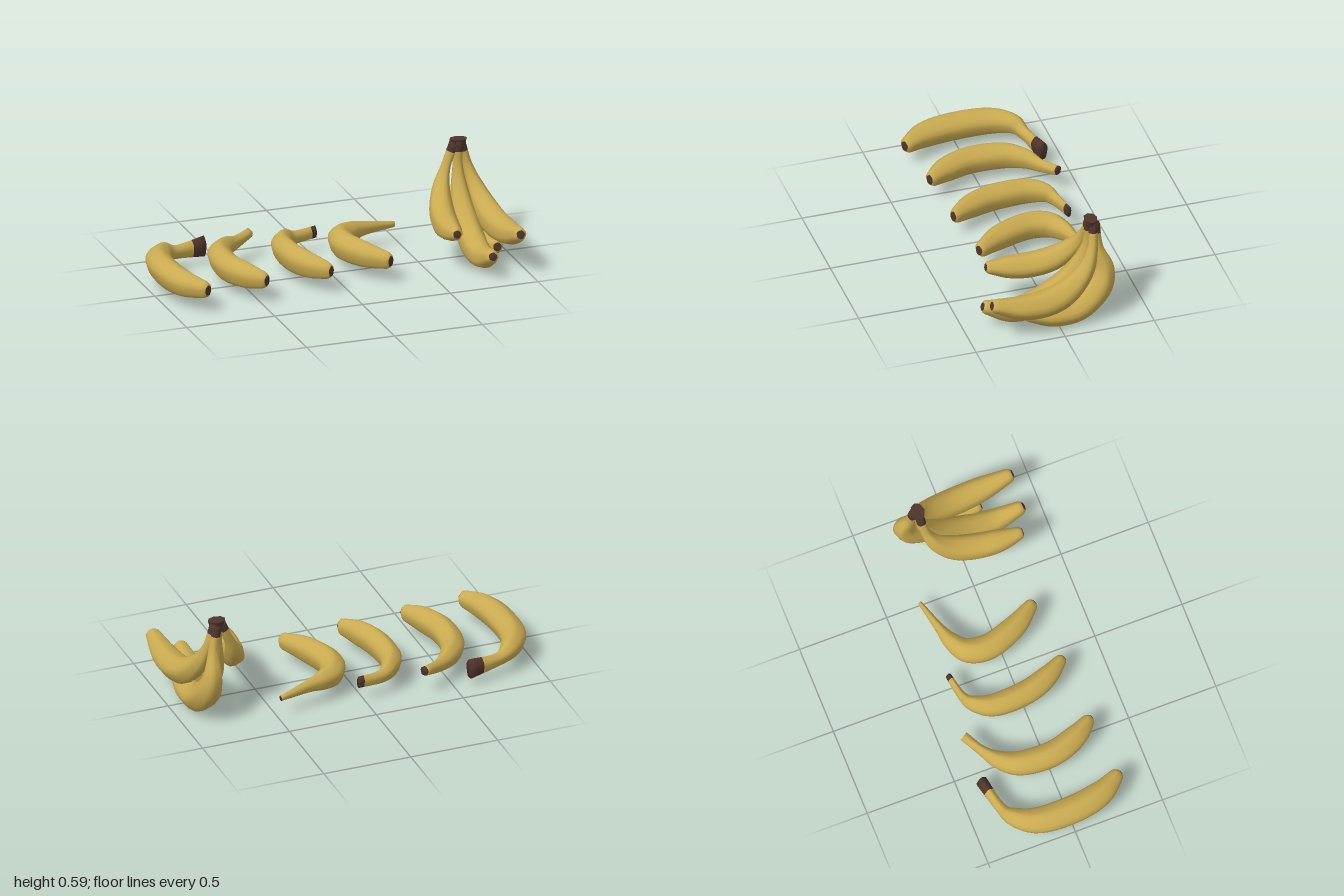
import * as THREE from 'three';

const SIDES = 20, ROWS = 5; // ring sides, rows per path span
const GIRTH = [0.027, 0.048, 0.067, 0.071, 0.063, 0.037]; // radius from neck to tip
const HEIGHT = [0.038, 0.057, 0.071, 0.075, 0.069, 0.048]; // upright radius when lying down

const skin = new THREE.MeshStandardMaterial({ color: 0xc9aa50 });
skin.name = 'yellowSkin';
const dried = new THREE.MeshStandardMaterial({ color: 0x4e342b });
dried.name = 'brownStem';

// Lofts a rounded five-sided banana along seven points, stem first.
// size scales the girth, depth lists the radii along the bend normal,
// end is the stem end's own pair of radii.
function banana(name, points, normal, { size, depth, end, brownRows }) {
  const path = new THREE.CatmullRomCurve3(points, false, 'catmullrom', 0.5);
  const radii = new THREE.CatmullRomCurve3(
    [new THREE.Vector3(...end, 0), ...GIRTH.map((g, k) => new THREE.Vector3(g * size, depth[k], 0))],
    false, 'catmullrom', 0.5);
  const steps = (points.length - 1) * ROWS;
  const rings = [];
  for (let i = 0; i <= steps; i++) {
    const t = i / steps;
    rings.push({ c: path.getPoint(t), t: path.getTangent(t), r: radii.getPoint(t) });
  }
  // Rounded end and small blossom knob
  const tip = rings[steps];
  for (const [out, scale] of [[0.014, 0.85], [0.022, 0.6], [0.025, 0.52]]) {
    rings.push({
      c: tip.c.clone().addScaledVector(tip.t, out), t: tip.t, r: tip.r.clone().multiplyScalar(scale),
    });
  }

  const pos = [], index = [];
  for (const { c, t, r } of rings) {
    const u = new THREE.Vector3().crossVectors(t, normal).normalize();
    const v = new THREE.Vector3().crossVectors(u, t);
    for (let j = 0; j < SIDES; j++) {
      const a = (j / SIDES) * Math.PI * 2;
      const k = 1 + 0.05 * Math.cos(5 * a);
      const p = c.clone()
        .addScaledVector(v, Math.cos(a) * r.y * k)
        .addScaledVector(u, Math.sin(a) * r.x * k);
      pos.push(p.x, p.y, p.z);
    }
  }
  const last = rings.length - 1;
  const centre = pos.length / 3;
  pos.push(...rings[0].c.toArray(), ...rings[last].c.toArray());

  for (let j = 0; j < SIDES; j++) index.push(centre, (j + 1) % SIDES, j);
  for (let i = 0; i < last; i++) {
    for (let j = 0; j < SIDES; j++) {
      const a = i * SIDES + j, b = i * SIDES + (j + 1) % SIDES;
      index.push(a, b, a + SIDES, b, b + SIDES, a + SIDES);
    }
  }
  for (let j = 0; j < SIDES; j++) {
    index.push(centre + 1, last * SIDES + j, last * SIDES + (j + 1) % SIDES);
  }

  const geo = new THREE.BufferGeometry();
  geo.setAttribute('position', new THREE.Float32BufferAttribute(pos, 3));
  geo.setIndex(index);
  geo.computeVertexNormals();
  // Brown stem end, yellow body, brown knob
  const stemEnd = SIDES * 3 + brownRows * SIDES * 6;
  const knob = SIDES * 3 + (last - 1) * SIDES * 6;
  geo.addGroup(0, stemEnd, 1);
  geo.addGroup(stemEnd, knob - stemEnd, 0);
  geo.addGroup(knob, index.length - knob, 1);
  const mesh = new THREE.Mesh(geo, [skin, dried]);
  mesh.name = name;
  return mesh;
}

// Bananas lying on their side: paths in x and z, heights of stem end and neck
const SINGLES = [
  { size: 1.06, end: [0.03, 0.058], brownRows: 2, endY: 0.092, neckY: 0.095,
    xz: [[-0.585, -0.378], [-0.76, -0.338], [-0.85, -0.29], [-0.915, -0.17],
      [-0.922, 0.03], [-0.89, 0.19], [-0.825, 0.305]] },
  { size: 0.97, end: [0.026, 0.026], brownRows: 0, endY: 0.135, neckY: 0.115,
    xz: [[-0.325, -0.38], [-0.425, -0.318], [-0.51, -0.255], [-0.575, -0.15],
      [-0.588, 0.03], [-0.54, 0.18], [-0.48, 0.275]] },
  { size: 0.9, end: [0.015, 0.034], brownRows: 1, endY: 0.112, neckY: 0.105,
    xz: [[0.034, -0.328], [-0.1, -0.3], [-0.17, -0.255], [-0.217, -0.15],
      [-0.21, 0.03], [-0.168, 0.16], [-0.108, 0.26]] },
  { size: 0.97, end: [0.011, 0.016], brownRows: 0, endY: 0.1, neckY: 0.118,
    xz: [[0.478, -0.318], [0.3, -0.274], [0.205, -0.242], [0.125, -0.18],
      [0.105, -0.06], [0.162, 0.105], [0.242, 0.228]] },
];

// Bananas hanging from one crown: paths in y and z, fanning out from x0 to x1
const BUNCH = [
  { x0: 0.78, x1: 0.606, size: 0.98,
    yz: [[0.57, -0.205], [0.45, -0.19], [0.35, -0.145], [0.27, -0.05],
      [0.235, 0.07], [0.235, 0.19], [0.25, 0.298]] },
  { x0: 0.8, x1: 0.782, size: 1.03,
    yz: [[0.58, -0.195], [0.44, -0.192], [0.31, -0.15], [0.19, -0.06],
      [0.105, 0.07], [0.072, 0.22], [0.122, 0.373]] },
  { x0: 0.815, x1: 0.94, size: 1.05,
    yz: [[0.575, -0.215], [0.43, -0.2], [0.31, -0.145], [0.22, -0.04],
      [0.182, 0.08], [0.186, 0.22], [0.228, 0.37]] },
  { x0: 0.81, x1: 0.882, size: 1.06,
    yz: [[0.565, -0.226], [0.42, -0.236], [0.29, -0.268], [0.175, -0.228],
      [0.082, -0.11], [0.07, 0.03], [0.095, 0.165]] },
];

export function createModel() {
  const model = new THREE.Group();
  model.name = 'bananas';

  const up = new THREE.Vector3(0, 1, 0);
  SINGLES.forEach((b, i) => {
    const heights = [b.endY, b.neckY];
    const points = b.xz.map(([x, z], k) => new THREE.Vector3(x, heights[k] ?? 0.12, z));
    model.add(banana(`singleBanana${i + 1}`, points, up, { ...b, depth: HEIGHT }));
  });

  const bunch = new THREE.Group();
  bunch.name = 'bunch';
  const side = new THREE.Vector3(1, 0, 0);
  BUNCH.forEach(({ x0, x1, size, yz }, i) => {
    const points = yz.map(([y, z], k) =>
      new THREE.Vector3(x1 + (x0 - x1) * (1 - k / 6) ** 2, y, z));
    const depth = GIRTH.map(g => g * size);
    bunch.add(banana(`bunchBanana${i + 1}`, points, side,
      { size, depth, end: [0.025, 0.027], brownRows: 2 }));
  });

  // Crown joining the stems
  const crown = new THREE.Mesh(new THREE.CylinderGeometry(0.05, 0.034, 0.06, 8), dried);
  crown.name = 'crown';
  crown.scale.z = 0.75;
  crown.position.set(0.802, 0.56, -0.205);
  bunch.add(crown);
  model.add(bunch);
  return model;
}
